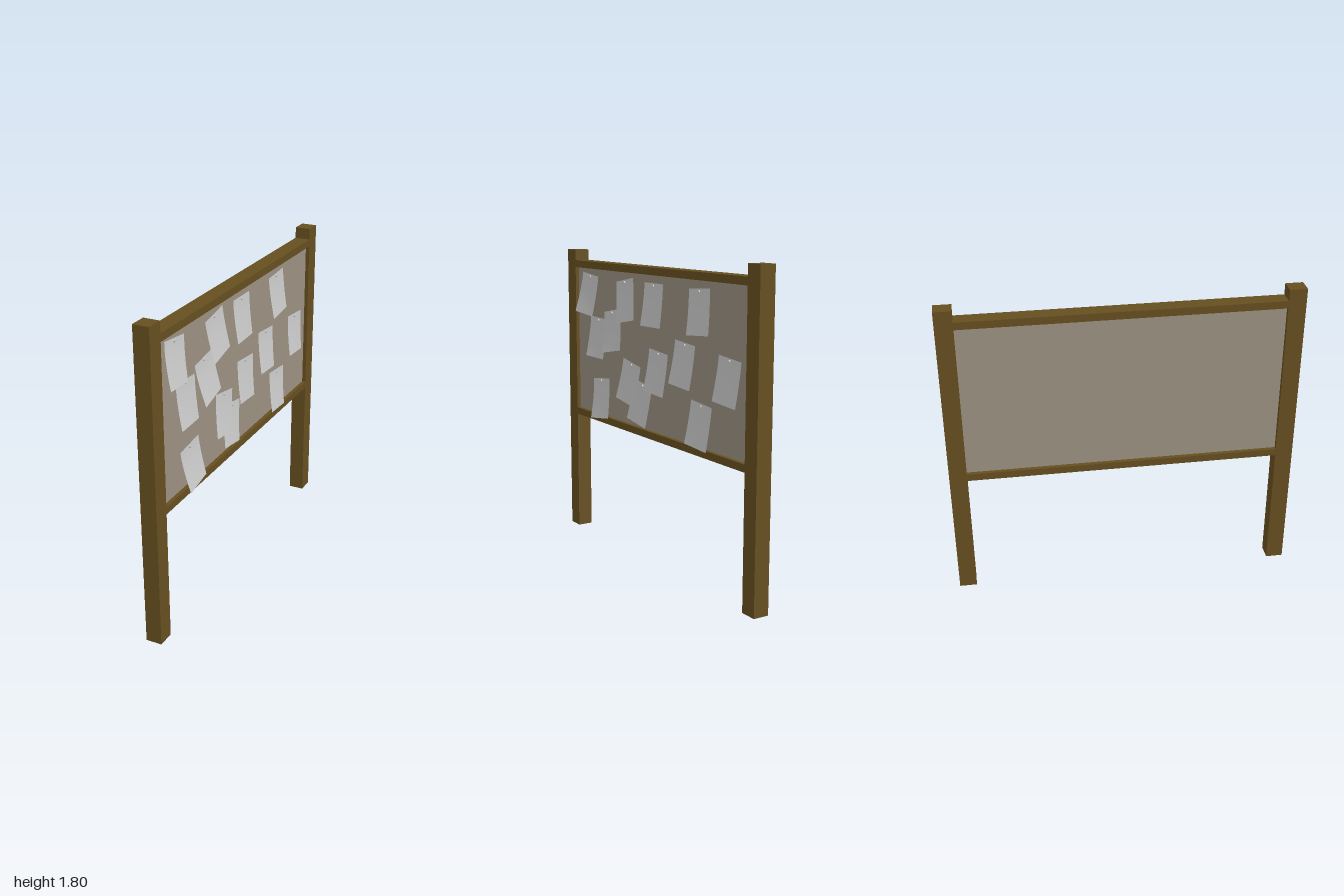
import * as THREE from 'three';

const wood = new THREE.MeshStandardMaterial({ color: 0x664f20 });
const cork = new THREE.MeshStandardMaterial({ color: 0x9c9182 });
const paper = new THREE.MeshStandardMaterial({ color: 0xcccccc, side: THREE.DoubleSide });
const metal = new THREE.MeshStandardMaterial({ color: 0xcccccc });

const BACK = -0.06, FRONT = 0.032, BOARD_FRONT = 0.01;
const SHEET_W = 0.196, SHEET_H = 0.246, PIN_DROP = 0.016;

// Box given by its limits on each axis
function slab(name, material, [x0, x1], [y0, y1], [z0, z1]) {
  const mesh = new THREE.Mesh(new THREE.BoxGeometry(x1 - x0, y1 - y0, z1 - z0), material);
  mesh.position.set((x0 + x1) / 2, (y0 + y1) / 2, (z0 + z1) / 2);
  mesh.name = name;
  return mesh;
}

// Sheet hanging from its pin (the local origin), lower edge curling outward
function sheetGeometry(curl) {
  const geometry = new THREE.PlaneGeometry(SHEET_W, SHEET_H, 4, 8);
  geometry.translate(0, PIN_DROP - SHEET_H / 2, 0);
  const p = geometry.attributes.position;
  for (let i = 0; i < p.count; i++) {
    const t = (PIN_DROP - p.getY(i)) / SHEET_H;
    const side = p.getX(i) / SHEET_W;
    p.setZ(i, curl * Math.pow(Math.max(t, 0), 1.5) * (1 - 0.35 * side));
  }
  geometry.computeVertexNormals();
  return geometry;
}

// Notices: across, height of pin, tilt in degrees, curl, layer
const NOTICES = [
  [-0.74, 1.64, -6, 0.038, 0],
  [-0.32, 1.63, 10, 0.028, 0],
  [0, 1.63, 0, 0.026, 0],
  [0.455, 1.63, 4, 0.025, 0],
  [-0.64, 1.38, -1.5, 0.03, 0],
  [-0.455, 1.44, 10, 0.034, 1],
  [-0.23, 1.153, -10, 0.026, 1],
  [-0.12, 1.045, -10, 0.024, 0],
  [0.05, 1.25, -5, 0.026, 0],
  [0.32, 1.33, -5, 0.027, 0],
  [0.735, 1.295, -5, 0.024, 0],
  [-0.61, 1.005, 7, 0.035, 0],
  [0.48, 1.02, -5, 0.026, 0],
];

export function createModel() {
  const model = new THREE.Group();
  model.name = 'noticeBoard';

  // Posts
  for (const [name, z] of [['frontPost', 0.95], ['backPost', -0.95]])
    model.add(slab(name, wood, [BACK, FRONT], [0, 1.8], [z - 0.05, z + 0.05]));

  // Rails between the posts
  model.add(slab('topRail', wood, [BACK, FRONT], [1.692, 1.735], [-0.9, 0.9]));
  model.add(slab('bottomRail', wood, [BACK, FRONT], [0.75, 0.792], [-0.9, 0.9]));

  // Recessed pin board
  model.add(slab('pinBoard', cork, [-0.036, BOARD_FRONT], [0.792, 1.692], [-0.9, 0.9]));

  // Pinned sheets, laid out flat and then turned to face +x
  const notices = new THREE.Group();
  notices.name = 'notices';
  notices.rotation.y = Math.PI / 2;
  notices.position.x = BOARD_FRONT;
  const pinGeometry = new THREE.CylinderGeometry(0.008, 0.008, 0.01, 10).rotateX(Math.PI / 2);
  for (const [across, height, tilt, curl, layer] of NOTICES) {
    const notice = new THREE.Group();
    notice.name = 'notice';
    notice.position.set(across, height, 0.003 + layer * 0.009);
    notice.rotation.z = THREE.MathUtils.degToRad(tilt);
    const sheet = new THREE.Mesh(sheetGeometry(curl), paper);
    sheet.name = 'sheet';
    const pin = new THREE.Mesh(pinGeometry, metal);
    pin.name = 'pin';
    pin.position.z = 0.003;
    notice.add(sheet, pin);
    notices.add(notice);
  }
  model.add(notices);
  return model;
}
